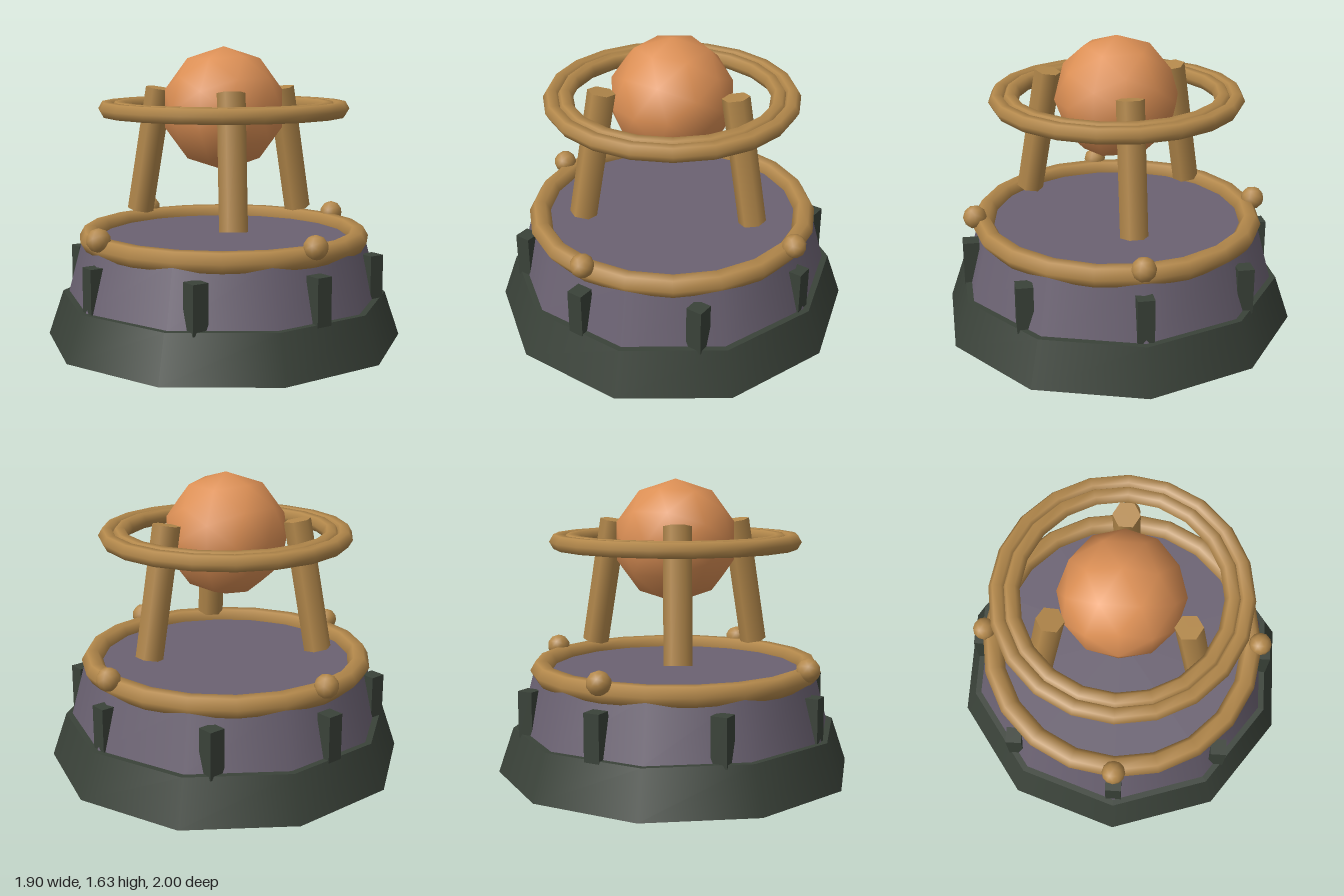
import * as THREE from 'three';

const material = (name, color) => {
  const m = new THREE.MeshStandardMaterial({ color });
  m.name = name;
  return m;
};

export function createModel() {
  const darkGreen = material('dark green', 0x3a4239);
  const mauve = material('mauve stone', 0x6b6272);
  const brass = material('brass', 0xb3884b);
  const orange = material('orange orb', 0xdd9055);

  const model = new THREE.Group();
  model.name = 'orbPedestal';
  const add = (name, geometry, mat, x = 0, y = 0, z = 0) => {
    const mesh = new THREE.Mesh(geometry, mat);
    mesh.name = name;
    mesh.position.set(x, y, z);
    model.add(mesh);
    return mesh;
  };
  const ring = (name, radius, tube, y) =>
    add(name, new THREE.TorusGeometry(radius, tube, 6, 20).rotateX(Math.PI / 2), brass, 0, y, 0);

  // Ten-sided plinth and drum
  add('base', new THREE.CylinderGeometry(0.915, 1, 0.25, 10), darkGreen, 0, 0.125, 0);
  add('drum', new THREE.CylinderGeometry(0.795, 0.88, 0.32, 10), mauve, 0, 0.41, 0);

  // Eight upright blocks around the drum, all square to the axes
  const block = new THREE.BoxGeometry(0.09, 0.26, 0.09);
  for (let i = 0; i < 8; i++) {
    const a = (i * Math.PI) / 4;
    add('block', block, darkGreen, 0.83 * Math.sin(a), 0.36, 0.83 * Math.cos(a));
  }

  // Rim with four round studs
  ring('rim', 0.755, 0.06, 0.575);
  const stud = new THREE.IcosahedronGeometry(0.066, 1);
  for (let i = 0; i < 4; i++) {
    const a = (i * Math.PI) / 2;
    add('stud', stud, brass, 0.8 * Math.sin(a), 0.63, 0.8 * Math.cos(a));
  }

  // Three posts leaning inwards, one at the back
  const post = new THREE.CylinderGeometry(0.075, 0.075, 0.72, 6)
    .rotateY(Math.PI / 6)
    .rotateX(-0.18);
  for (let i = 0; i < 3; i++) {
    const a = Math.PI + (i * Math.PI * 2) / 3;
    const mesh = add('post', post, brass, 0.47 * Math.sin(a), 1.04, 0.47 * Math.cos(a));
    mesh.rotation.y = a;
  }

  // Ridged upper ring and the orb
  ring('outerHalo', 0.652, 0.046, 1.29);
  ring('innerHalo', 0.58, 0.046, 1.29);
  add('orb', new THREE.IcosahedronGeometry(0.343, 1), orange, 0, 1.288, 0);

  return model;
}
